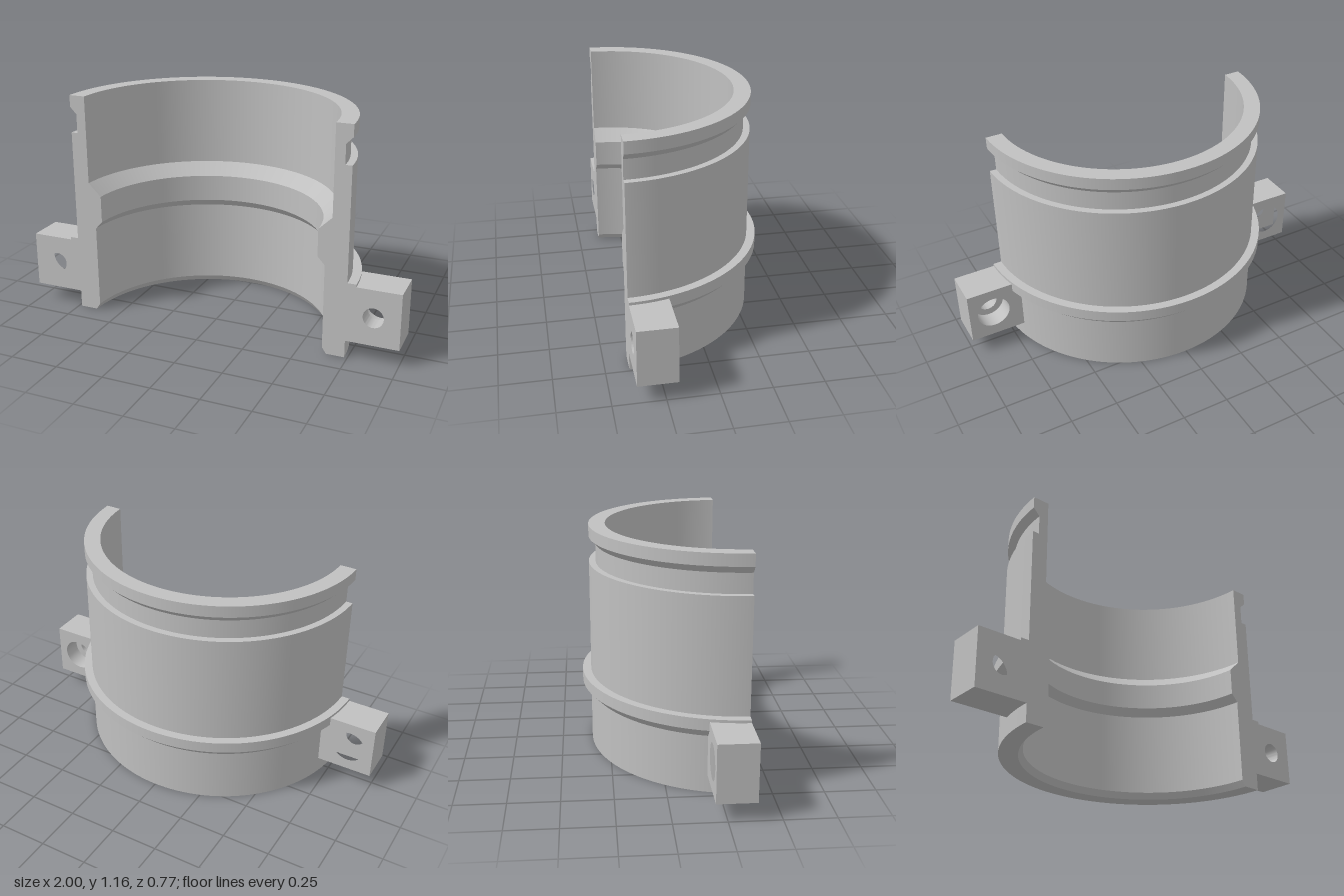
import * as THREE from 'three';
import { mergeGeometries, toCreasedNormals } from 'three/addons/utils/BufferGeometryUtils.js';

const AXIS_Z = 0.394; // axis of the ring
const CUT_Z = 0.3845; // flat split face, just short of the axis

// Closed wall section as (radius, height): up the outside, down the inside
const SECTION = [
  [0.642, 0], [0.735, 0], [0.735, 0.29], [0.779, 0.335], [0.779, 0.393], [0.735, 0.393],
  [0.735, 0.97], [0.701, 0.97], [0.701, 1.068], [0.735, 1.103], [0.735, 1.163],
  [0.651, 1.163], [0.651, 0.709], [0.584, 0.644], [0.584, 0.505], [0.621, 0.465], [0.621, 0.032],
].map(([r, y]) => new THREE.Vector2(r, y));

// One lathe band per section edge keeps the rims sharp and the curve smooth
function shellGeometry() {
  const bands = SECTION.map((p, i) => {
    const q = SECTION[(i + 1) % SECTION.length];
    return new THREE.LatheGeometry([p, q], 72, Math.PI / 2, Math.PI);
  });
  const geometry = mergeGeometries(bands);
  geometry.translate(0, 0, AXIS_Z);
  const pos = geometry.attributes.position;
  for (let i = 0; i < pos.count; i++) pos.setZ(i, Math.min(pos.getZ(i), CUT_Z));
  return geometry;
}

// Flat end of the wall on one side
function splitFaceGeometry(side) {
  const shape = new THREE.Shape(SECTION.map((p) => new THREE.Vector2(side * p.x, p.y)));
  return new THREE.ShapeGeometry(shape).translate(0, 0, CUT_Z);
}

// Slab of a bolt lug with a round hole, between two depths
function lugSlab(side, holeRadius, z0, z1) {
  const x0 = side * 0.685, x1 = side;
  const shape = new THREE.Shape([
    new THREE.Vector2(x0, 0.09), new THREE.Vector2(x1, 0.09),
    new THREE.Vector2(x1, 0.379), new THREE.Vector2(x0, 0.379),
  ]);
  const hole = new THREE.Path();
  hole.absarc(side * 0.867, 0.235, holeRadius, 0, Math.PI * 2, true);
  shape.holes.push(hole);
  const geometry = new THREE.ExtrudeGeometry(shape, { depth: z1 - z0, bevelEnabled: false, curveSegments: 24 });
  geometry.translate(0, 0, z0);
  return toCreasedNormals(geometry, 0.6);
}

export function createModel() {
  const model = new THREE.Group();
  model.name = 'halfCollar';
  const metal = new THREE.MeshStandardMaterial({ color: 0xc0c0c0 });
  metal.name = 'light grey metal';
  const add = (name, geometry) => {
    const mesh = new THREE.Mesh(geometry, metal);
    mesh.name = name;
    model.add(mesh);
  };

  add('collarShell', shellGeometry());
  for (const [label, side] of [['left', 1], ['right', -1]]) {
    add(label + 'SplitFace', splitFaceGeometry(side));
    // Narrow bolt hole in front, wider counterbore behind
    add(label + 'LugFront', lugSlab(side, 0.051, 0.29, CUT_Z));
    add(label + 'LugCounterbore', lugSlab(side, 0.088, 0.193, 0.29));
  }
  return model;
}
